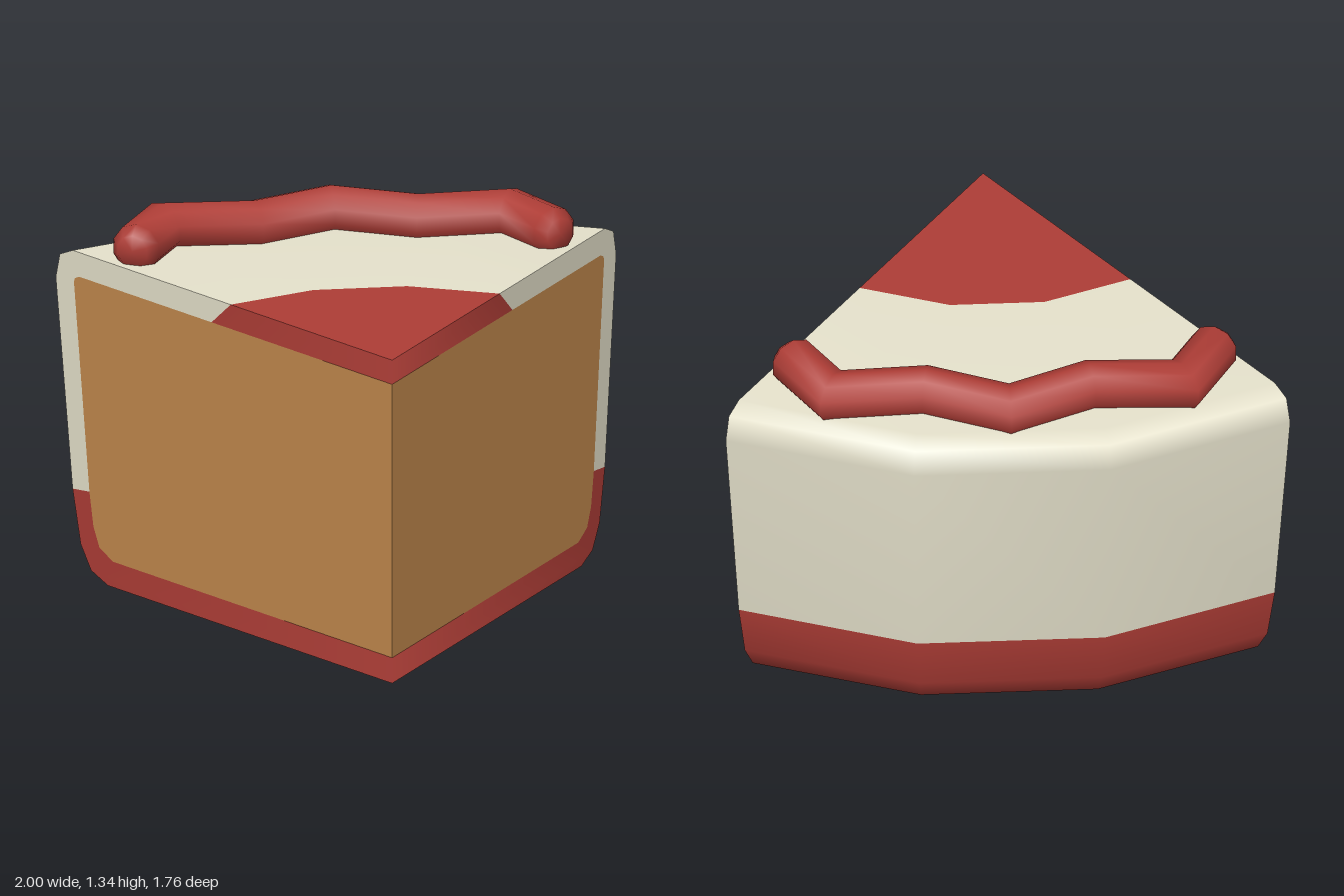
import * as THREE from 'three';
import { mergeVertices, mergeGeometries } from 'three/addons/utils/BufferGeometryUtils.js';

const TIP = 0.88;    // z of the slice's pointed tip
const SIDE = 1.49;   // z run of a cut side per unit of x

const material = (name, color) => {
  const m = new THREE.MeshStandardMaterial({ color });
  m.name = name;
  return m;
};

// Smooth surface through a grid of points; rows and columns are point lists.
function grid(rows) {
  const n = rows[0].length, index = [];
  for (let j = 0; j < rows.length - 1; j++) {
    for (let i = 0; i < n - 1; i++) {
      const a = j * n + i, b = a + 1, c = a + n, d = c + 1;
      index.push(a, b, c, b, d, c);
    }
  }
  const g = new THREE.BufferGeometry();
  g.setAttribute('position', new THREE.Float32BufferAttribute(rows.flat(2), 3));
  g.setIndex(index);
  const merged = mergeVertices(g, 1e-4);
  merged.computeVertexNormals();
  return merged;
}

// Sweep a [scale, y] profile round the faceted back of the wedge.
const BACK = [[-1, 1.49], [-0.35, 1.76], [0.35, 1.76], [1, 1.49]];
const wedge = (profile) =>
  grid(profile.map(([s, y]) => BACK.map(([x, d]) => [x * s, y, TIP - d * s])));

// Flat outline of [x, y] points laid on both cut sides; smooth blends them at the tip.
function cutSides(points, smooth) {
  const halves = [1, -1].map((sign) => {
    const g = new THREE.ShapeGeometry(new THREE.Shape(points.map((p) => new THREE.Vector2(...p))));
    g.deleteAttribute('uv');
    g.deleteAttribute('normal');
    const pos = g.attributes.position;
    for (let i = 0; i < pos.count; i++) {
      const s = pos.getX(i);
      pos.setXYZ(i, sign * s, pos.getY(i), TIP - SIDE * s);
    }
    if (sign < 0) g.setIndex(Array.from(g.index.array).reverse());
    return g;
  });
  let g = mergeGeometries(halves);
  if (smooth) g = mergeVertices(g, 1e-4);
  g.computeVertexNormals();
  return g;
}

// Zigzag tube with mitred bends and bevelled ends; path entries are [x, z, radius].
function piping(path, y, sides) {
  const pts = path.map(([x, z]) => new THREE.Vector2(x, z));
  const dirs = pts.slice(1).map((p, i) => p.clone().sub(pts[i]).normalize());
  const mitres = pts.map((p, i) => {
    const t1 = dirs[Math.max(i - 1, 0)], t2 = dirs[Math.min(i, dirs.length - 1)];
    const t = t1.clone().add(t2).normalize();
    return new THREE.Vector2(-t.y, t.x).divideScalar(t.dot(t1));
  });
  const rows = [];
  for (let k = 0; k <= sides; k++) {
    const a = ((k % sides) / sides) * Math.PI * 2 + Math.PI / 2;
    rows.push(path.map(([x, z, r], i) => [
      x + mitres[i].x * r * Math.cos(a),
      y + r * Math.sin(a),
      z + mitres[i].y * r * Math.cos(a),
    ]));
  }
  return grid(rows);
}

export function createModel() {
  const cream = material('creamIcing', 0xe6e2cc);
  const red = material('redIcing', 0xae3d36);
  const sponge = material('sponge', 0xc2894d);
  const model = new THREE.Group();
  model.name = 'cakeSlice';
  const add = (name, geometry, mat) => {
    const mesh = new THREE.Mesh(geometry, mat);
    mesh.name = name;
    model.add(mesh);
  };

  // Icing over the top, back and underside: cream above, red below
  const shell = wedge([
    [0.48, 1.2], [0.95, 1.2], [0.988, 1.17], [1, 1.08], [0.95, 0.315],
    [0.926, 0.12], [0.895, 0.035], [0.845, 0], [0, 0],
  ]);
  const split = 4 * 3 * 6;
  shell.addGroup(0, split, 0);
  shell.addGroup(split, shell.index.count - split, 1);
  add('icingShell', shell, [cream, red]);

  // Red patch at the tip of the top
  add('topTip', wedge([[0, 1.2], [0.48, 1.2]]), red);

  // Cut sides: sponge panel framed by the icing's thickness
  const inner = [[0.83, 0.095], [0.87, 0.13], [0.888, 0.2], [0.9, 0.325]];
  const corner = [[0.946, 1.085], [0.943, 1.1], [0.93, 1.11]];
  add('spongeSides', cutSides([[0, 0.095], ...inner, ...corner, [0.537, 1.11], [0, 1.11]], false), sponge);
  add('topTipEdge', cutSides([[0, 1.11], [0.537, 1.11], [0.48, 1.2], [0, 1.2]], true), red);
  add('baseEdge', cutSides([
    [0, 0], [0.845, 0], [0.895, 0.035], [0.926, 0.12], [0.95, 0.315],
    ...[...inner].reverse(), [0, 0.095],
  ], true), red);
  add('creamEdge', cutSides([
    [0.48, 1.2], [0.537, 1.11], ...[...corner].reverse(), [0.9, 0.325],
    [0.95, 0.315], [1, 1.08], [0.988, 1.17], [0.95, 1.2],
  ], false), cream);

  // Zigzag of piped icing along the back of the top
  const half = [
    [0.29, -0.59, 0.09], [0.62, -0.605, 0.09], [0.745, -0.372, 0.09],
    [0.764, -0.337, 0.058], [0.765, -0.335, 0],
  ];
  const mirrored = half.map(([x, z, r]) => [-x, z, r]).reverse();
  add('pipedIcing', piping([...mirrored, [0, -0.73, 0.09], ...half], 1.25, 10), red);

  return model;
}
